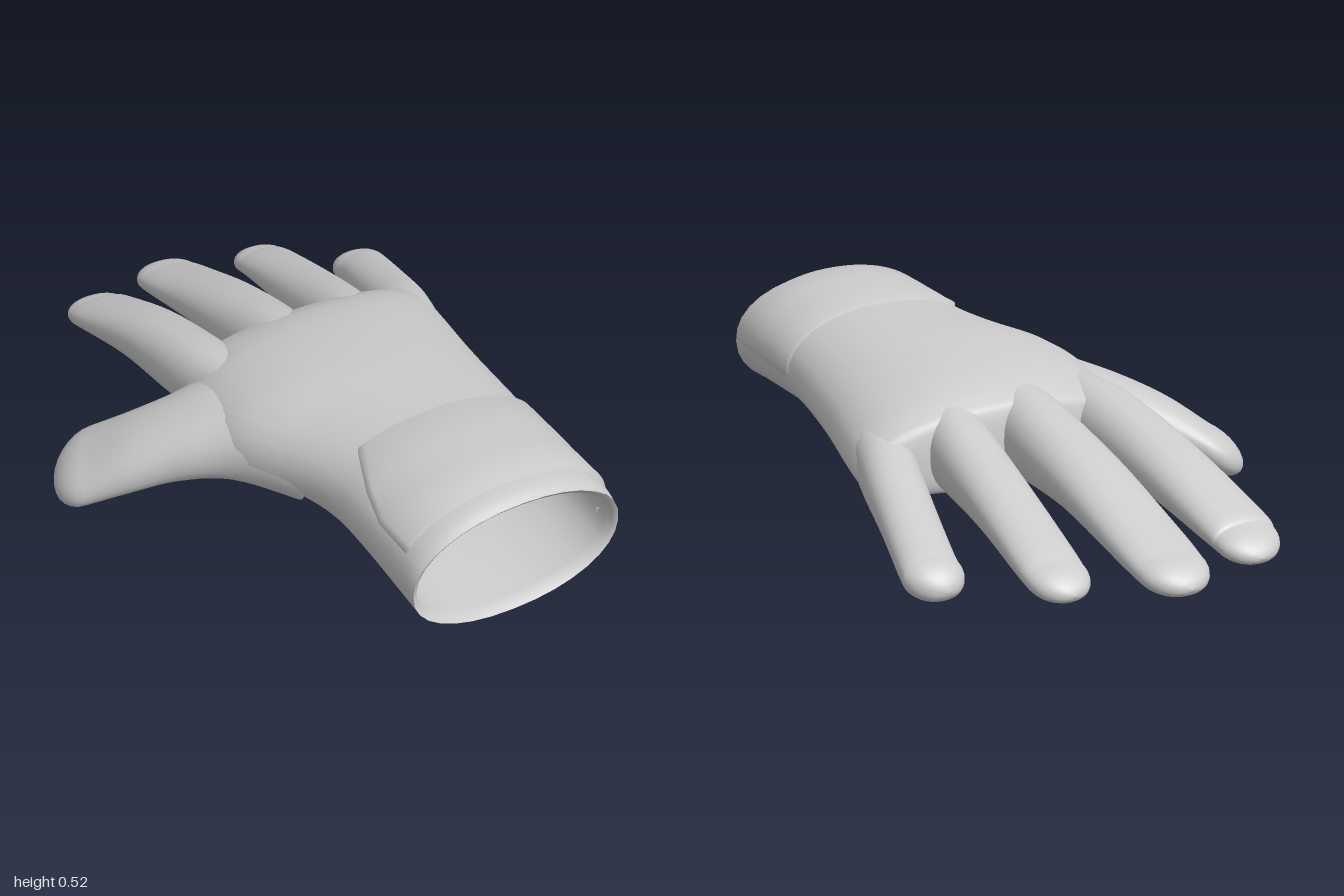
import * as THREE from 'three';

const material = new THREE.MeshStandardMaterial({ color: 0xcccccc, side: THREE.DoubleSide });
const RING = 32;

// Section: [cx, cy, cz, ux, uy, uz, up, down, arcEnd]; u is the half-width vector.
const span = ([xl, xr, top, bottom, z, mid = 0.5, arcEnd = 0]) => {
  const cy = bottom + (top - bottom) * mid;
  return [(xl + xr) / 2, cy, z, (xr - xl) / 2, 0, 0, top - cy, cy - bottom, arcEnd];
};

// Section between two edge points in plan, for the thumb
const between = ([ax, az, bx, bz, top, bottom, tilt = 0]) =>
  [(ax + bx) / 2, (top + bottom) / 2, (az + bz) / 2, (bx - ax) / 2, tilt, (bz - az) / 2,
    (top - bottom) / 2, (top - bottom) / 2, 0];

// Catmull-Rom subdivision of a list of sections
function smooth(sections, steps = 5) {
  const out = [];
  const last = sections.length - 1;
  for (let i = 0; i < last; i++) {
    const [p, a, b, n] = [i - 1, i, i + 1, i + 2].map(k => sections[Math.min(last, Math.max(0, k))]);
    for (let s = 0; s < steps; s++) {
      const t = s / steps;
      out.push(a.map((v, k) => v + 0.5 * t * (b[k] - p[k]
        + t * (2 * p[k] - 5 * v + 4 * b[k] - n[k] + t * (3 * (v - b[k]) + n[k] - p[k])))));
    }
  }
  out.push(sections[last]);
  return out;
}

// Rounded closing sections that reach from the last section along ext
function roundEnd(sections, ext, steps = 7) {
  const base = sections[sections.length - 1];
  const out = [...sections];
  for (let i = 1; i <= steps; i++) {
    const a = (i / steps) * Math.PI / 2;
    const r = Math.max(Math.cos(a), 0.004);
    out.push(base.map((v, k) => (k < 3 ? v + ext[k] * Math.sin(a) : k < 8 ? v * r : v)));
  }
  return out;
}

// Skin over sections; an arc start makes an open strip whose ends sink inwards
function loft(name, sections, power = 2.2, arcStart = null) {
  const open = arcStart !== null;
  const cols = open ? RING + 1 : RING;
  const positions = [], index = [];
  const bend = v => Math.sign(v) * Math.abs(v) ** (2 / power);
  for (const [cx, cy, cz, ux, uy, uz, up, down, arcEnd] of sections) {
    for (let j = 0; j < cols; j++) {
      const a = open ? arcStart + (arcEnd - arcStart) * j / RING : j / RING * Math.PI * 2;
      const sink = open && (j === 0 || j === RING) ? 0.93 : 1;
      const c = bend(Math.cos(a)) * sink, s = bend(Math.sin(a)) * sink;
      positions.push(cx + ux * c, cy + uy * c + s * (s > 0 ? up : down), cz + uz * c);
    }
  }
  for (let i = 0; i < sections.length - 1; i++) {
    for (let j = 0; j < RING; j++) {
      const k = (j + 1) % cols;
      const a = i * cols + j, b = i * cols + k, c = a + cols, d = b + cols;
      index.push(a, c, b, b, c, d);
    }
  }
  const geometry = new THREE.BufferGeometry();
  geometry.setAttribute('position', new THREE.Float32BufferAttribute(positions, 3));
  geometry.setIndex(index);
  geometry.computeVertexNormals();
  const mesh = new THREE.Mesh(geometry, material);
  mesh.name = name;
  return mesh;
}

export function createModel() {
  const glove = new THREE.Group();
  glove.name = 'glove';

  // Palm and wrist: left x, right x, top, bottom, z, height of widest line
  const palm = [
    [-0.16, 0.5, 0.48, 0.1, 1, 0.5],
    [-0.163, 0.502, 0.5, 0.105, 0.93, 0.5],
    [-0.165, 0.507, 0.497, 0.122, 0.7, 0.5],
    [-0.175, 0.51, 0.49, 0.135, 0.55, 0.47],
    [-0.22, 0.525, 0.485, 0.14, 0.4, 0.42],
    [-0.31, 0.55, 0.475, 0.137, 0.2, 0.37],
    [-0.32, 0.585, 0.45, 0.13, 0, 0.34],
    [-0.293, 0.605, 0.42, 0.13, -0.12, 0.34],
    [-0.275, 0.612, 0.385, 0.14, -0.19, 0.36],
  ].map(span);
  glove.add(loft('palm', roundEnd(smooth(palm), [0, -0.01, -0.03]), 2.15));

  // Hollow lining and rim
  const lining = smooth([
    [0.18, 0.2, 0.3, 0.28, 0.16],
    [-0.02, 0.4, 0.4, 0.19, 0.2],
    [-0.08, 0.45, 0.44, 0.165, 0.4],
    [-0.13, 0.48, 0.462, 0.14, 0.75],
    [-0.145, 0.487, 0.467, 0.113, 0.99],
  ].map(span));
  lining.push(palm[0]);
  glove.add(loft('lining', lining, 2.1));

  // Wrist strap over the back of the hand, with a slanted free end
  const strap = [
    [-0.165, 0.5, 0.475, 0.14, 0.55, 0.5, 2.38],
    [-0.185, 0.518, 0.502, 0.12, 0.56, 0.5, 2.4],
    [-0.176, 0.516, 0.508, 0.11, 0.7, 0.5, 2.7],
    [-0.174, 0.513, 0.513, 0.1, 0.8, 0.5, 2.85],
    [-0.173, 0.512, 0.516, 0.095, 0.92, 0.5, 2.85],
    [-0.155, 0.495, 0.485, 0.11, 0.935, 0.5, 2.85],
  ].map(span);
  glove.add(loft('wristStrap', strap, 2.12, -0.1));

  // Fingers: same columns as the palm, then the reach of the tip
  const fingers = {
    indexFinger: [[
      [-0.24, -0.06, 0.39, 0.16, 0], [-0.293, -0.085, 0.375, 0.145, -0.2],
      [-0.322, -0.11, 0.3, 0.13, -0.5], [-0.352, -0.14, 0.19, 0.08, -0.78],
      [-0.35, -0.15, 0.16, 0.07, -0.83]], [0.002, -0.025, -0.095]],
    middleFinger: [[
      [-0.03, 0.16, 0.42, 0.16, 0], [-0.043, 0.172, 0.4, 0.145, -0.2],
      [-0.058, 0.165, 0.315, 0.14, -0.5], [-0.066, 0.152, 0.2, 0.085, -0.8],
      [-0.064, 0.142, 0.16, 0.063, -0.9]], [-0.005, -0.022, -0.1]],
    ringFinger: [[
      [0.19, 0.38, 0.41, 0.16, 0], [0.212, 0.408, 0.385, 0.15, -0.2],
      [0.236, 0.425, 0.29, 0.135, -0.5], [0.255, 0.438, 0.2, 0.095, -0.75],
      [0.26, 0.436, 0.17, 0.08, -0.82]], [-0.005, -0.022, -0.09]],
    littleFinger: [[
      [0.36, 0.565, 0.36, 0.15, 0], [0.437, 0.62, 0.325, 0.135, -0.2],
      [0.49, 0.662, 0.26, 0.115, -0.4], [0.532, 0.702, 0.195, 0.075, -0.59],
      [0.54, 0.71, 0.175, 0.066, -0.64]], [-0.008, -0.02, -0.08]],
  };
  for (const [name, [rows, tip]] of Object.entries(fingers)) {
    glove.add(loft(name, roundEnd(smooth(rows.map(span)), tip)));
  }

  // Thumb: outer edge x, z, inner edge x, z, top, bottom, tilt
  const thumb = [
    [-0.19, 0.46, -0.13, -0.05, 0.38, 0.16],
    [-0.3, 0.25, -0.23, -0.12, 0.36, 0.13],
    [-0.425, 0.135, -0.34, -0.145, 0.31, 0.1],
    [-0.555, 0.055, -0.44, -0.19, 0.245, 0.06, 0.01],
    [-0.665, -0.02, -0.535, -0.258, 0.165, 0.018, 0.02],
  ].map(between);
  glove.add(loft('thumb', roundEnd(smooth(thumb), [-0.09, -0.05, -0.055])));

  return glove;
}
